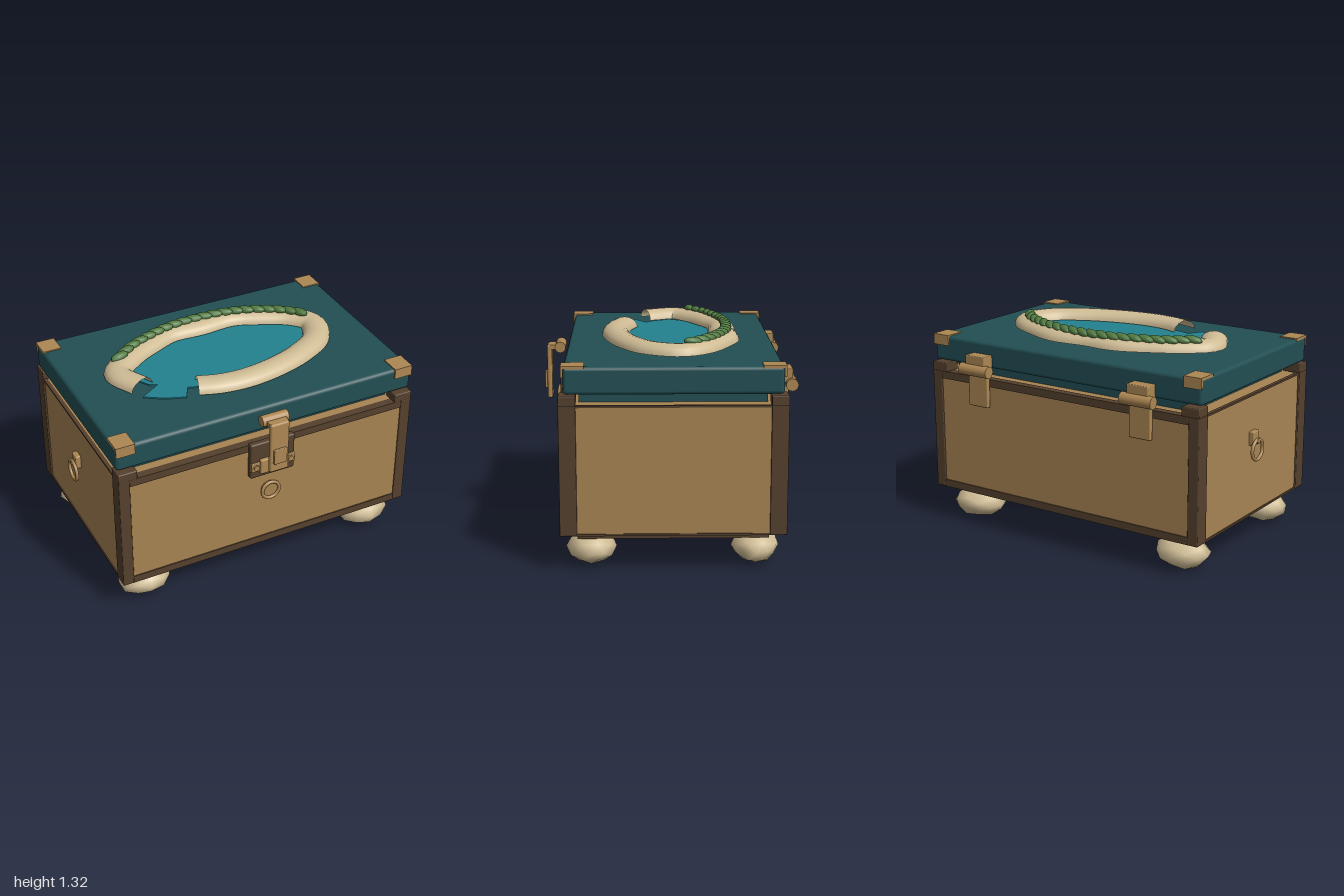
import * as THREE from 'three';
import { RoundedBoxGeometry } from 'three/addons/geometries/RoundedBoxGeometry.js';
import { mergeVertices } from 'three/addons/utils/BufferGeometryUtils.js';

const mat = (name, color, extra = {}) =>
  Object.assign(new THREE.MeshStandardMaterial({ color }), { name }, extra);

export function createModel() {
  const tan = mat('tan panel', 0xa78453);
  const brass = mat('brass', 0xad8753);
  const brown = mat('dark brown wood', 0x55402d);
  const teal = mat('dark teal', 0x224f54);
  const water = mat('water teal', 0x228290);
  const sand = mat('sand', 0xcfbc95, { side: THREE.DoubleSide });
  const stone = mat('stone', 0xcfbc95);
  const green = mat('leaf green', 0x50793f);

  const model = new THREE.Group();
  model.name = 'chest';
  // the box is slightly off centre because latch, hinges and ring stick out
  const chest = new THREE.Group();
  chest.name = 'chestBox';
  chest.position.set(0.018, 0, -0.022);
  model.add(chest);

  const add = (name, geo, material, x = 0, y = 0, z = 0, parent = chest) => {
    const m = new THREE.Mesh(geo, material);
    m.name = name;
    m.position.set(x, y, z);
    parent.add(m);
    return m;
  };
  // box given by its limits, with optional rounded edges
  const box = (name, material, x0, x1, y0, y1, z0, z1, r = 0) => {
    const s = [x1 - x0, y1 - y0, z1 - z0];
    const g = r ? new RoundedBoxGeometry(...s, 2, r) : new THREE.BoxGeometry(...s);
    return add(name, g, material, (x0 + x1) / 2, (y0 + y1) / 2, (z0 + z1) / 2);
  };
  const rod = (name, material, r, len, axis, x, y, z, seg = 20) => {
    const g = new THREE.CylinderGeometry(r, r, len, seg);
    if (axis === 'x') g.rotateZ(Math.PI / 2);
    if (axis === 'z') g.rotateX(Math.PI / 2);
    return add(name, g, material, x, y, z);
  };

  // body, base and frame
  box('body', tan, -0.967, 0.967, 0.222, 0.985, -0.645, 0.645);
  box('base', brown, -0.898, 0.898, 0.18, 0.222, -0.557, 0.557);
  for (const sx of [-1, 1]) {
    for (const sz of [-1, 1]) {
      const range = (s, a, b) => (s > 0 ? [a, b] : [-b, -a]);
      box('cornerPost', brown, ...range(sx, 0.908, 0.978), 0.22, 0.99, ...range(sz, 0.555, 0.655), 0.006);
      box('postCap', brown, ...range(sx, 0.86, 0.978), 0.985, 1.042, ...range(sz, 0.555, 0.655), 0.006);
      // lid corner bracket: top plate and hanging flap
      box('lidCornerTop', brass, ...range(sx, 0.86, 0.978), 1.2, 1.217, ...range(sz, 0.505, 0.636));
      box('lidCornerFlap', brass, ...range(sx, 0.86, 0.978), 1.15, 1.217, ...range(sz, 0.622, 0.636));
    }
    box('sideBottomRail', brown, sx * 0.962 - 0.012, sx * 0.962 + 0.012, 0.22, 0.232, -0.56, 0.56);
    box('sideTopRail', brown, sx * 0.962 - 0.012, sx * 0.962 + 0.012, 0.976, 0.988, -0.56, 0.56);
  }
  for (const sz of [-1, 1]) {
    const z0 = sz > 0 ? 0.6 : -0.652, z1 = sz > 0 ? 0.652 : -0.6;
    box('bottomRail', brown, -0.91, 0.91, 0.22, 0.267, z0, z1);
    box('topRail', brown, -0.91, 0.91, 0.94, 0.988, z0, z1);
  }

  // lid
  box('lidInsert', teal, -0.86, 0.86, 0.98, 1.052, -0.541, 0.541);
  box('lid', teal, -0.978, 0.978, 1.05, 1.21, -0.626, 0.626, 0.022);

  // stone feet: uneven low-poly pebbles
  let seed = 7;
  const rand = () => (seed = (seed * 16807) % 2147483647) / 2147483647;
  for (const sx of [-1, 1]) {
    for (const sz of [-1, 1]) {
      let g = new THREE.IcosahedronGeometry(1, 1);
      g.deleteAttribute('normal');
      g.deleteAttribute('uv');
      g = mergeVertices(g, 1e-3);
      const p = g.attributes.position;
      for (let i = 0; i < p.count; i++) {
        const k = 0.93 + rand() * 0.14;
        p.setXYZ(i, p.getX(i) * k, p.getY(i) * k, p.getZ(i) * k);
      }
      g.scale(0.17, 0.095, 0.142);
      g.computeVertexNormals();
      add('stoneFoot', g, stone, sx * 0.777, 0.1, sz * 0.479);
    }
  }

  // front latch
  box('latchPlate', brown, -0.147, 0.147, 0.757, 1.0, 0.64, 0.682, 0.01);
  rod('latchPivot', brass, 0.034, 0.17, 'x', 0, 1.158, 0.682);
  box('latchArm', brass, -0.062, 0.062, 1.142, 1.17, 0.682, 0.75);
  box('latchStrap', brass, -0.062, 0.062, 0.832, 1.17, 0.735, 0.766, 0.012);
  box('latchButton', brass, -0.043, 0.043, 0.895, 0.995, 0.76, 0.782, 0.005);
  box('latchCatch', brass, -0.09, 0.09, 0.79, 0.89, 0.675, 0.705, 0.008);
  box('catchFlange', brass, -0.147, 0.147, 0.808, 0.872, 0.675, 0.692, 0.005);
  for (const s of [-1, 1]) rod('latchRivet', brass, 0.018, 0.02, 'z', s * 0.115, 0.84, 0.692, 12);

  // round boss on the front
  rod('frontDisc', tan, 0.056, 0.02, 'z', 0, 0.622, 0.652, 28);
  add('frontRing', new THREE.TorusGeometry(0.057, 0.011, 8, 28), brass, 0, 0.622, 0.667);

  // pull ring on the right side
  box('ringMount', brass, -1.0, -0.96, 0.67, 0.76, -0.055, 0.015, 0.008);
  rod('ringPin', brass, 0.016, 0.05, 'x', -0.993, 0.7, -0.02, 12);
  const pull = add('pullRing', new THREE.TorusGeometry(0.062, 0.011, 8, 28), brass, -1.007, 0.645, -0.02);
  pull.rotation.y = Math.PI / 2;

  // back hinges
  for (const s of [-1, 1]) {
    const x = s * 0.595;
    rod('hingeBarrel', brass, 0.037, 0.215, 'x', x, 1.045, -0.698);
    box('hingeUpperLeaf', brass, x - 0.073, x + 0.073, 1.05, 1.135, -0.705, -0.62, 0.006);
    box('hingeLowerLeaf', brass, x - 0.073, x + 0.073, 0.81, 1.03, -0.68, -0.65, 0.006);
  }

  // lid ornament: a shallow pool with a torn edge, a sand rim and a leaf garland
  const poolEdge = [[-0.6, -0.03], [-0.52, 0.1], [-0.48, 0.12], [-0.61, 0.2], [-0.5, 0.27], [-0.38, 0.315],
    [-0.33, 0.225], [-0.24, 0.255], [0.01, 0.278], [0.24, 0.25], [0.45, 0.18], [0.6, 0.07], [0.63, -0.06],
    [0.56, -0.18], [0.4, -0.26], [0.2, -0.315], [-0.18, -0.315], [-0.37, -0.26], [-0.52, -0.17]];
  const poolShape = new THREE.Shape(poolEdge.map(([x, z]) => new THREE.Vector2(x, -z)));
  const poolGeo = new THREE.ExtrudeGeometry(poolShape, { depth: 0.009, bevelEnabled: false });
  poolGeo.rotateX(-Math.PI / 2);
  add('pool', poolGeo, water, 0, 1.209, 0, model);

  const path = (pts, y) => new THREE.CatmullRomCurve3(pts.map(([x, z]) => new THREE.Vector3(x, y, z)));
  const rim = path([[-0.58, 0.125], [-0.655, -0.07], [-0.52, -0.2], [-0.36, -0.285], [-0.19, -0.35],
    [0.01, -0.345], [0.24, -0.355], [0.43, -0.285], [0.6, -0.19], [0.685, -0.07], [0.61, 0.1], [0.44, 0.21],
    [0.24, 0.28], [0.01, 0.315], [-0.16, 0.3], [-0.285, 0.26]], 1.225);
  // open arched shell swept along the rim
  const N = 90, M = 10, pos = [], idx = [];
  for (let i = 0; i <= N; i++) {
    const c = rim.getPointAt(i / N), t = rim.getTangentAt(i / N);
    for (let j = 0; j <= M; j++) {
      const a = (j / M) * Math.PI, w = Math.cos(a) * 0.085;
      pos.push(c.x + t.z * w, c.y + Math.sin(a) * 0.062, c.z - t.x * w);
      if (i < N && j < M) {
        const k = i * (M + 1) + j;
        idx.push(k, k + M + 1, k + 1, k + 1, k + M + 1, k + M + 2);
      }
    }
  }
  const rimGeo = new THREE.BufferGeometry();
  rimGeo.setAttribute('position', new THREE.Float32BufferAttribute(pos, 3));
  rimGeo.setIndex(idx);
  rimGeo.computeVertexNormals();
  add('sandRim', rimGeo, sand, 0, 0, 0, model);

  const garland = path([[-0.6, -0.165], [-0.48, -0.25], [-0.35, -0.305], [-0.185, -0.355], [0, -0.37],
    [0.24, -0.35], [0.43, -0.285], [0.56, -0.21], [0.63, -0.145]], 1.29);
  const leafGeo = new THREE.SphereGeometry(1, 10, 8).scale(0.062, 0.026, 0.03);
  const leaves = 20;
  for (let i = 0; i < leaves; i++) {
    const c = garland.getPointAt(i / (leaves - 1)), t = garland.getTangentAt(i / (leaves - 1));
    const leaf = add('leaf', leafGeo, green, c.x, c.y, c.z, model);
    leaf.rotation.set(0, Math.atan2(-t.z, t.x) - 0.4, 0.12);
  }
  return model;
}
